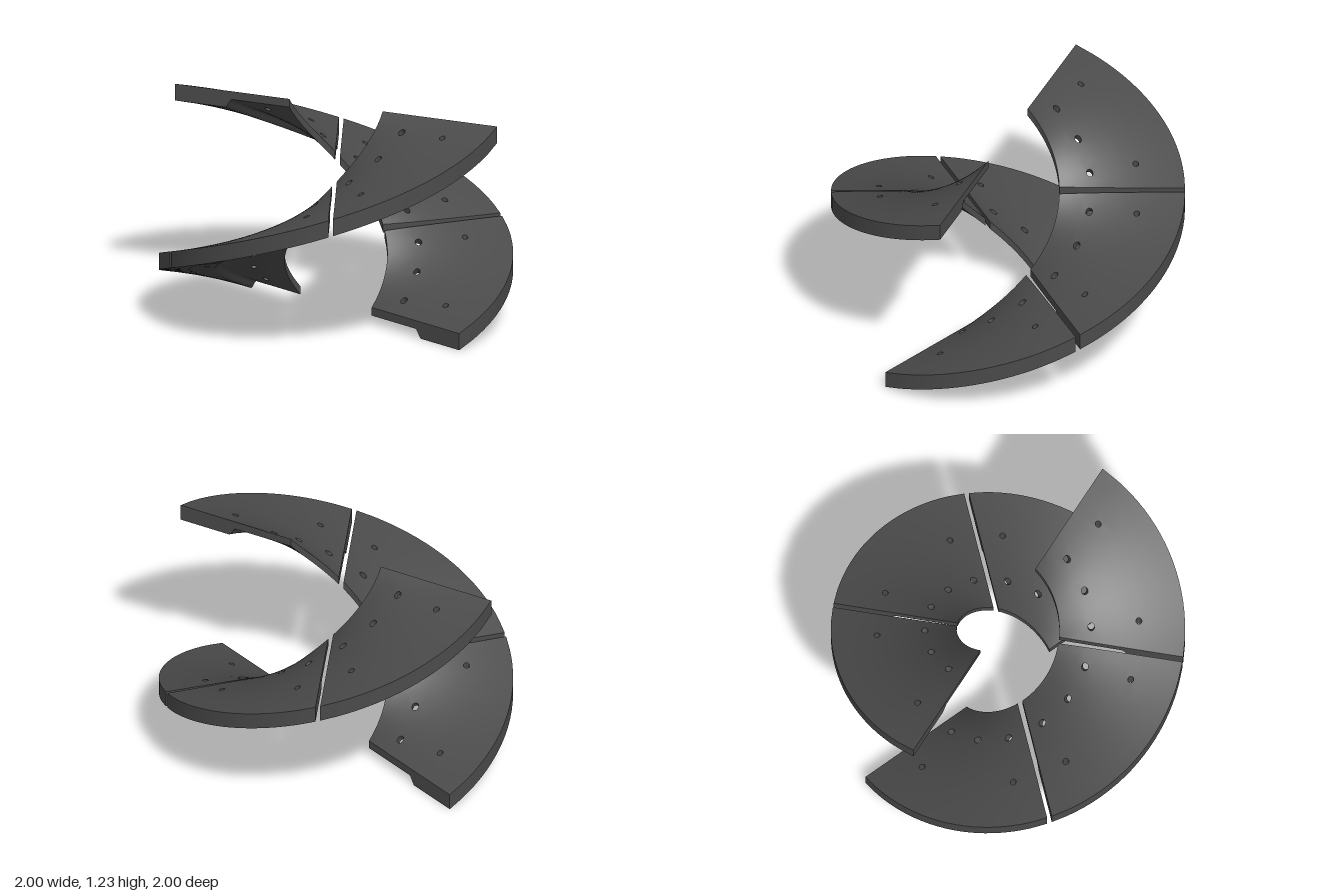
import * as THREE from 'three';
import { toCreasedNormals } from 'three/addons/utils/BufferGeometryUtils.js';

const DEG = Math.PI / 180;
const START = -5.4, PITCH = 67.1, RISE = 1.13, BASE = 0.1; // helix angles in degrees
const INNER = 0.29, OUTER = 1, HALF_GAP = 0.0135;

// Radial rows; each hole cell covers four rows and four columns
const ROWS = [INNER, 0.35, 0.415, 0.4425, 0.47, 0.4975, 0.525, 0.585, 0.645, 0.652, 0.66, 0.668,
  0.676, 0.684, 0.69, 0.70, 0.72, 0.74, 0.76, 0.78, 0.85, 0.92, OUTER];
const HALF_COLUMNS = [3, 6, 9.2, 12.4, 15.6, 18.6, 21.6, 24.6, 27.6, 33.55];
const COLUMNS = [...HALF_COLUMNS.map(a => -a).reverse(), 0, ...HALF_COLUMNS];

// Blade is thin near the bore and thick near the rim, with a smooth step below
const thickness = r => 0.048 + 0.05 * THREE.MathUtils.smoothstep(r, 0.645, 0.69);

// Point on the upper or lower helical surface
function point(angle, r, lower) {
  const y = BASE + RISE * (angle - START) / (3 * PITCH) - (lower ? thickness(r) : 0);
  return new THREE.Vector3(r * Math.sin(angle * DEG), y, r * Math.cos(angle * DEG));
}

// Bolt holes: three leaning ones near the bore, two upright ones near the rim
const HOLES = [
  ...[-21.6, 0, 21.6].map(a => ({ a, shift: -1.3, r: 0.47, radius: 0.019, lean: 2.7 })),
  ...[-21.6, 21.6].map(a => ({ a, shift: 0.7, r: 0.74, radius: 0.017, lean: 0 })),
];

function bladeSegment(index) {
  const centre = START + PITCH * (index + 0.5);
  const out = [];
  const quad = (a, b, c, d) => {
    for (const p of [a, b, c, a, c, d]) out.push(p.x, p.y, p.z);
  };
  const nc = COLUMNS.length - 1, nr = ROWS.length - 1;

  // Joint edges keep a gap of constant width; free ends are radial
  const at = (i, j, lower) => {
    const r = ROWS[j];
    const trim = Math.asin(HALF_GAP / r) / DEG;
    let a = COLUMNS[i];
    if (i === 0 && index > 0) a += trim;
    if (i === nc && index < 2) a -= trim;
    return point(centre + a, r, lower);
  };

  const cells = HOLES.map(h => ({ ...h, i: COLUMNS.indexOf(h.a) - 2, j: ROWS.indexOf(h.r) - 2 }));
  const inHole = (i, j) => cells.some(h => i >= h.i && i < h.i + 4 && j >= h.j && j < h.j + 4);

  // Upper and lower skins
  for (let i = 0; i < nc; i++) {
    for (let j = 0; j < nr; j++) {
      if (inHole(i, j)) continue;
      quad(at(i, j), at(i, j + 1), at(i + 1, j + 1), at(i + 1, j));
      quad(at(i, j, true), at(i + 1, j, true), at(i + 1, j + 1, true), at(i, j + 1, true));
    }
    // Rim and bore walls
    quad(at(i, nr, true), at(i + 1, nr, true), at(i + 1, nr), at(i, nr));
    quad(at(i, 0), at(i + 1, 0), at(i + 1, 0, true), at(i, 0, true));
  }

  // End walls
  for (let j = 0; j < nr; j++) {
    quad(at(0, j, true), at(0, j + 1, true), at(0, j + 1), at(0, j));
    quad(at(nc, j), at(nc, j + 1), at(nc, j + 1, true), at(nc, j, true));
  }

  // Holes: a ring from the cell border to the circle on each skin, and the wall
  for (const h of cells) {
    const border = [];
    for (let k = 0; k < 4; k++) border.push([0, k]);
    for (let k = 0; k < 4; k++) border.push([k, 4]);
    for (let k = 4; k > 0; k--) border.push([4, k]);
    for (let k = 4; k > 0; k--) border.push([k, 0]);
    const edge = (k, lower) => {
      const [di, dj] = border[k % 16];
      return at(h.i + di, h.j + dj, lower);
    };
    const circle = (k, lower) => {
      const phi = (-135 + 22.5 * (k % 16)) * DEG;
      const a = h.a + h.shift + (lower ? h.lean : 0) + h.radius * Math.sin(phi) / h.r / DEG;
      return point(centre + a, h.r + h.radius * Math.cos(phi), lower);
    };
    for (let k = 0; k < 16; k++) {
      quad(edge(k), edge(k + 1), circle(k + 1), circle(k));
      quad(edge(k + 1, true), edge(k, true), circle(k, true), circle(k + 1, true));
      quad(circle(k), circle(k + 1), circle(k + 1, true), circle(k, true));
    }
  }

  const geometry = new THREE.BufferGeometry();
  geometry.setAttribute('position', new THREE.Float32BufferAttribute(out, 3));
  return toCreasedNormals(geometry, 0.6);
}

export function createModel() {
  const model = new THREE.Group();
  model.name = 'doubleHelixBlades';
  const material = new THREE.MeshStandardMaterial({ color: 0x4b4b4b });
  material.name = 'dark grey';

  // Two identical flights, half a turn apart, of three segments each
  const geometries = [0, 1, 2].map(bladeSegment);
  for (let s = 0; s < 2; s++) {
    const flight = new THREE.Group();
    flight.name = s ? 'rightFlight' : 'leftFlight';
    geometries.forEach((geometry, i) => {
      const mesh = new THREE.Mesh(geometry, material);
      mesh.name = ['lowerSegment', 'middleSegment', 'upperSegment'][i];
      flight.add(mesh);
    });
    flight.rotation.y = s * Math.PI;
    model.add(flight);
  }
  return model;
}
